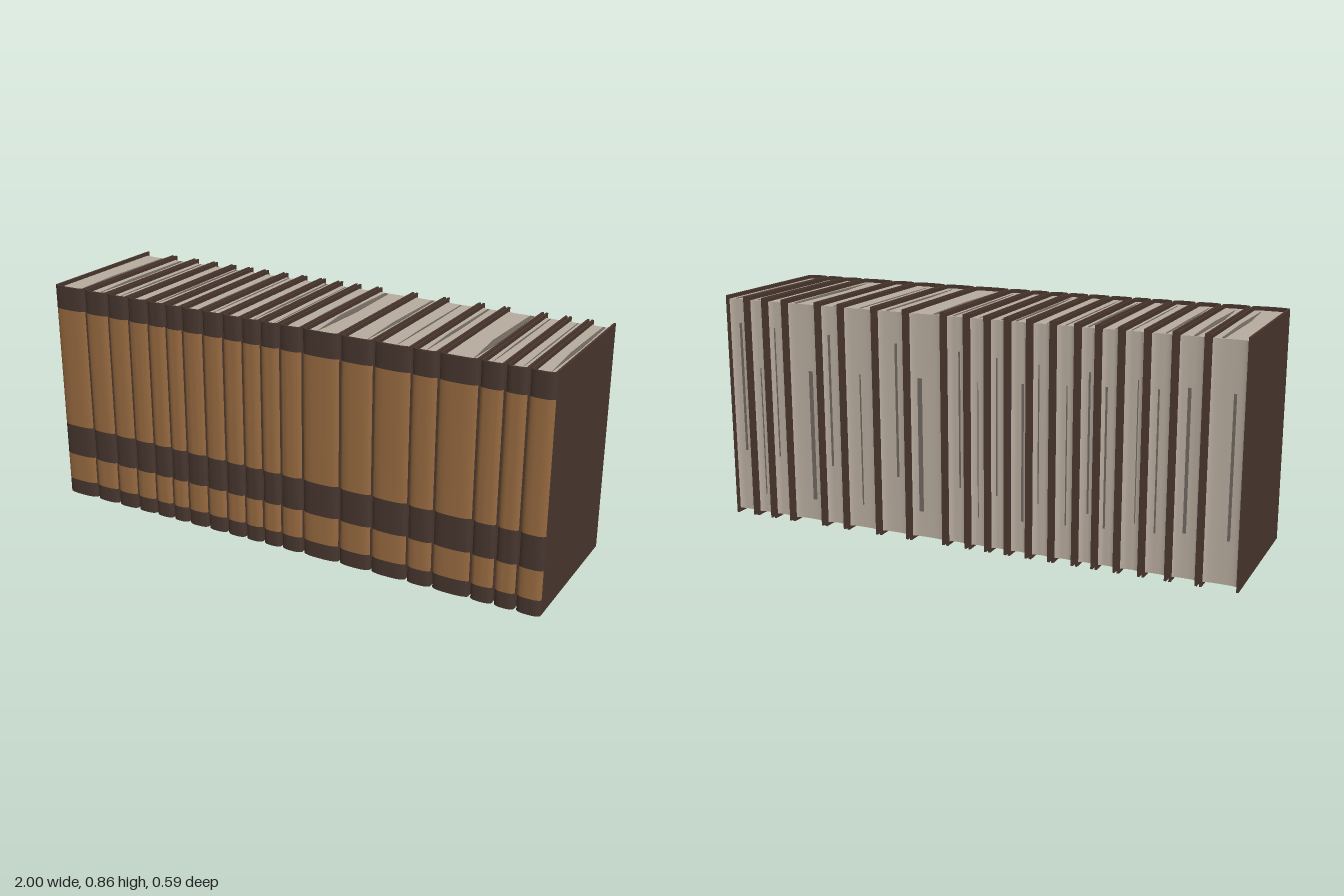
import * as THREE from 'three';
import { toCreasedNormals } from 'three/addons/utils/BufferGeometryUtils.js';

const mat = (name, color) => {
  const m = new THREE.MeshStandardMaterial({ color });
  m.name = name;
  return m;
};

const HEIGHT = 0.86, BACK = -0.295, FRONT = 0.295, BOARD = 0.008, GAP = 0.008;
const SHOULDER = 0.281; // where the rounded spine meets the boards
const PAGE_LOW = 0.014, PAGE_HIGH = HEIGHT - 0.014;

// Extrude a plan outline of [x, z] points from y0 up to y1
function prism(points, y0, y1) {
  const shape = new THREE.Shape(points.map(([x, z]) => new THREE.Vector2(x, -z)));
  const geo = new THREE.ExtrudeGeometry(shape, { depth: y1 - y0, bevelEnabled: false });
  geo.rotateX(-Math.PI / 2).translate(0, y0, 0);
  return toCreasedNormals(geo, 0.6);
}

// Shallow arc across a book of half width h, bulging towards z = crown
function arc(h, base, crown, n = 12) {
  return Array.from({ length: n + 1 }, (_, i) => {
    const t = -1 + (2 * i) / n;
    const x = Math.sin((t * Math.PI) / 2);
    return [x * h, base + (crown - base) * Math.pow(1 - Math.pow(Math.abs(x), 3), 0.6)];
  });
}

export function createModel() {
  const leather = mat('dark leather', 0x4a372e);
  const band = mat('dark spine band', 0x47362f);
  const tan = mat('tan spine', 0x976a40);
  const paper = mat('paper', 0xb8ac9f);
  const shade = mat('aged paper streak', 0x71675f);

  const row = new THREE.Group();
  row.name = 'bookRow';

  // Edges between neighbouring books
  const edges = [-1, -0.862, -0.755, -0.66, -0.571, -0.49, -0.417, -0.328, -0.242, -0.16,
    -0.083, -0.004, 0.086, 0.235, 0.363, 0.503, 0.6, 0.743, 0.83, 0.91, 1];
  // Spine colours from the bottom up
  const bands = [[0, 0.06, band], [0.06, 0.17, tan], [0.17, 0.295, band],
    [0.295, 0.77, tan], [0.77, HEIGHT, band]];

  for (let i = 0; i < edges.length - 1; i++) {
    const x0 = edges[i] + (i ? GAP / 2 : 0);
    const x1 = edges[i + 1] - (i < edges.length - 2 ? GAP / 2 : 0);
    const h = (x1 - x0) / 2, inner = h - BOARD;
    const book = new THREE.Group();
    book.name = 'book' + (i + 1);
    book.position.x = (x0 + x1) / 2;
    const add = (name, geo, material) => {
      const m = new THREE.Mesh(geo, material);
      m.name = name;
      book.add(m);
      return m;
    };

    // Cover boards
    for (const s of [-1, 1]) {
      const board = add(s < 0 ? 'rightBoard' : 'leftBoard',
        new THREE.BoxGeometry(BOARD, HEIGHT, SHOULDER - BACK), leather);
      board.position.set(s * (h - BOARD / 2), HEIGHT / 2, (SHOULDER + BACK) / 2);
    }

    // Rounded spine in coloured bands
    const outline = [...arc(h, SHOULDER, FRONT), ...arc(inner, SHOULDER, FRONT - BOARD).reverse()];
    for (const [y0, y1, m] of bands) add(m === tan ? 'spinePanel' : 'spineBand', prism(outline, y0, y1), m);

    // Page block, rounded at the spine and hollowed at the fore edge
    const front = arc(inner, SHOULDER - 0.002, FRONT - BOARD - 0.001);
    const fore = arc(inner, -0.284, -0.276).reverse();
    add('pages', prism([...front, ...fore], PAGE_LOW, PAGE_HIGH), paper);

    // Aged streaks along the top, bottom and fore edge
    const c = inner * 0.55 * Math.sin(i * 2.4 + 1), w = inner * (0.16 + 0.1 * Math.sin(i * 1.7));
    const streak = [[c - w * 0.4, -0.27], [c + w * 0.6, -0.27], [c + w, 0], [c + w * 0.2, 0.25], [c - w, 0.05]];
    add('topStreak', prism(streak, PAGE_HIGH, PAGE_HIGH + 0.002), shade);
    add('bottomStreak', prism(streak, PAGE_LOW - 0.002, PAGE_LOW), shade);
    const foreStreak = add('foreEdgeStreak', new THREE.BoxGeometry(w, 0.5, 0.004), shade);
    foreStreak.position.set(-c * 0.8, 0.42 + 0.12 * Math.sin(i * 3.1), -0.28);

    row.add(book);
  }
  return row;
}
